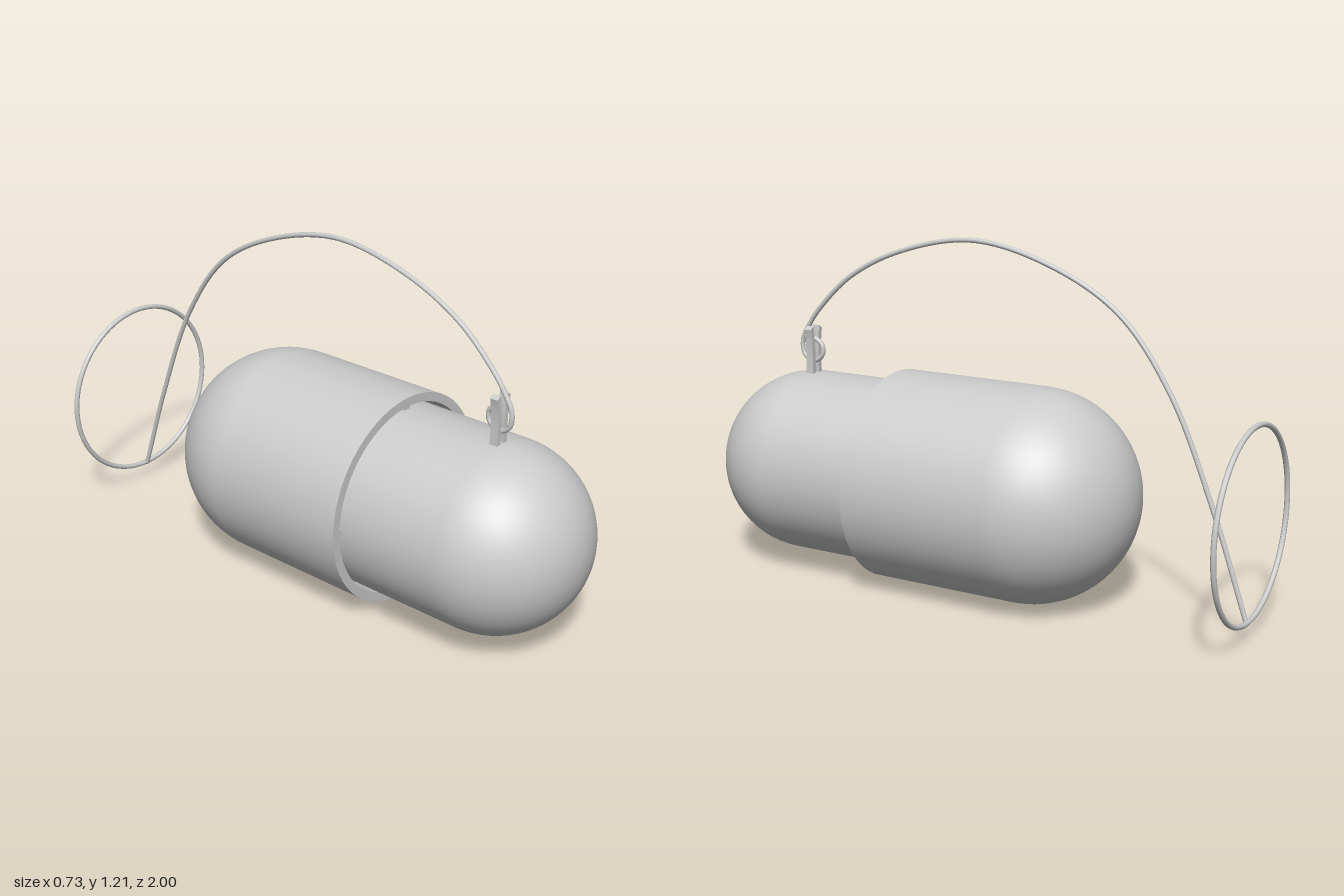
import * as THREE from 'three';

const AXIS_Y = 0.367;
const material = new THREE.MeshStandardMaterial({ color: 0xcccccc });

function add(parent, name, geometry) {
  const mesh = new THREE.Mesh(geometry, material);
  mesh.name = name;
  parent.add(mesh);
  return mesh;
}

// Quarter circle of profile points, from angle a to b, around height c
function arc(radius, c, a, b, steps = 20) {
  return Array.from({ length: steps + 1 }, (_, i) => {
    const t = a + ((b - a) * i) / steps;
    return new THREE.Vector2(Math.max(0, radius * Math.cos(t)), c + radius * Math.sin(t));
  });
}

// Lathe a run of profile points and lay its axis along z
function turned(points) {
  return new THREE.LatheGeometry(points, 96).rotateX(Math.PI / 2);
}

export function createModel() {
  const model = new THREE.Group();
  model.name = 'capsuleWithRing';
  const V2 = (x, y) => new THREE.Vector2(x, y);
  const H = Math.PI / 2;

  // Inner capsule with a domed front, sliding inside the shell
  const inner = new THREE.Group();
  inner.name = 'innerCapsule';
  inner.position.y = AXIS_Y;
  model.add(inner);
  add(inner, 'innerBody', turned([
    ...arc(0.322, -0.22, -H, 0),
    ...arc(0.322, 0.678, 0, H),
  ]));

  // Outer shell: domed back, flat front rim and inner wall
  const shell = new THREE.Group();
  shell.name = 'outerShell';
  shell.position.y = AXIS_Y;
  model.add(shell);
  const outerR = 0.365, wallR = 0.334, rimZ = 0.314;
  add(shell, 'shellBody', turned([...arc(outerR, -0.221, -H, 0, 24), V2(outerR, rimZ)]));
  add(shell, 'shellRim', turned([V2(outerR, rimZ), V2(wallR, rimZ)]));
  add(shell, 'shellInnerWall', turned([V2(wallR, rimZ), V2(wallR, -0.221)]));

  // Four guide ribs in the gap between capsule and shell
  for (let i = 0; i < 4; i++) {
    const rib = add(shell, 'guideRib', new THREE.BoxGeometry(0.016, 0.028, 0.5));
    rib.position.set(0.328 * Math.cos(i * H), 0.328 * Math.sin(i * H), 0.06);
    rib.rotation.z = i * H;
  }

  // Pair of flared prongs that hold the wire
  const prongShape = new THREE.Shape();
  prongShape.moveTo(0.01, 0.67);
  prongShape.lineTo(0.028, 0.67);
  prongShape.quadraticCurveTo(0.02, 0.79, 0.034, 0.846);
  prongShape.lineTo(0.017, 0.857);
  prongShape.quadraticCurveTo(0.004, 0.78, 0.01, 0.67);
  const prongs = new THREE.Group();
  prongs.name = 'prongs';
  model.add(prongs);
  for (const side of [0, 1]) {
    const geometry = new THREE.ExtrudeGeometry(prongShape, { depth: 0.028, bevelEnabled: false, curveSegments: 8 });
    geometry.translate(0, 0, -0.014);
    const prong = add(prongs, side ? 'rightProng' : 'leftProng', geometry);
    prong.position.z = 0.674;
    prong.rotation.y = side * Math.PI;
  }

  // Arched wire, hooked round at the front, listed as [z, y]
  const path = [
    [0.665, 0.812], [0.635, 0.79], [0.637, 0.752], [0.675, 0.73], [0.712, 0.75],
    [0.72, 0.8], [0.69, 0.86], [0.645, 0.92], [0.51, 1.045], [0.3, 1.148], [0.01, 1.203],
    [-0.29, 1.134], [-0.525, 1.0], [-0.705, 0.765], [-0.865, 0.4], [-0.983, 0.066],
  ];
  const curve = new THREE.CatmullRomCurve3(path.map(([z, y]) => new THREE.Vector3(0, y, z)), false, 'centripetal');
  add(model, 'archedWire', new THREE.TubeGeometry(curve, 160, 0.0085, 10, false));
  for (const [z, y] of [path[0], path[path.length - 1]]) {
    add(model, 'wireEnd', new THREE.SphereGeometry(0.0085, 10, 8)).position.set(0, y, z);
  }

  // Upright ring at the back end of the wire
  const ring = add(model, 'endRing', new THREE.TorusGeometry(0.318, 0.009, 10, 96));
  ring.position.set(0, 0.382, -0.991);

  return model;
}
